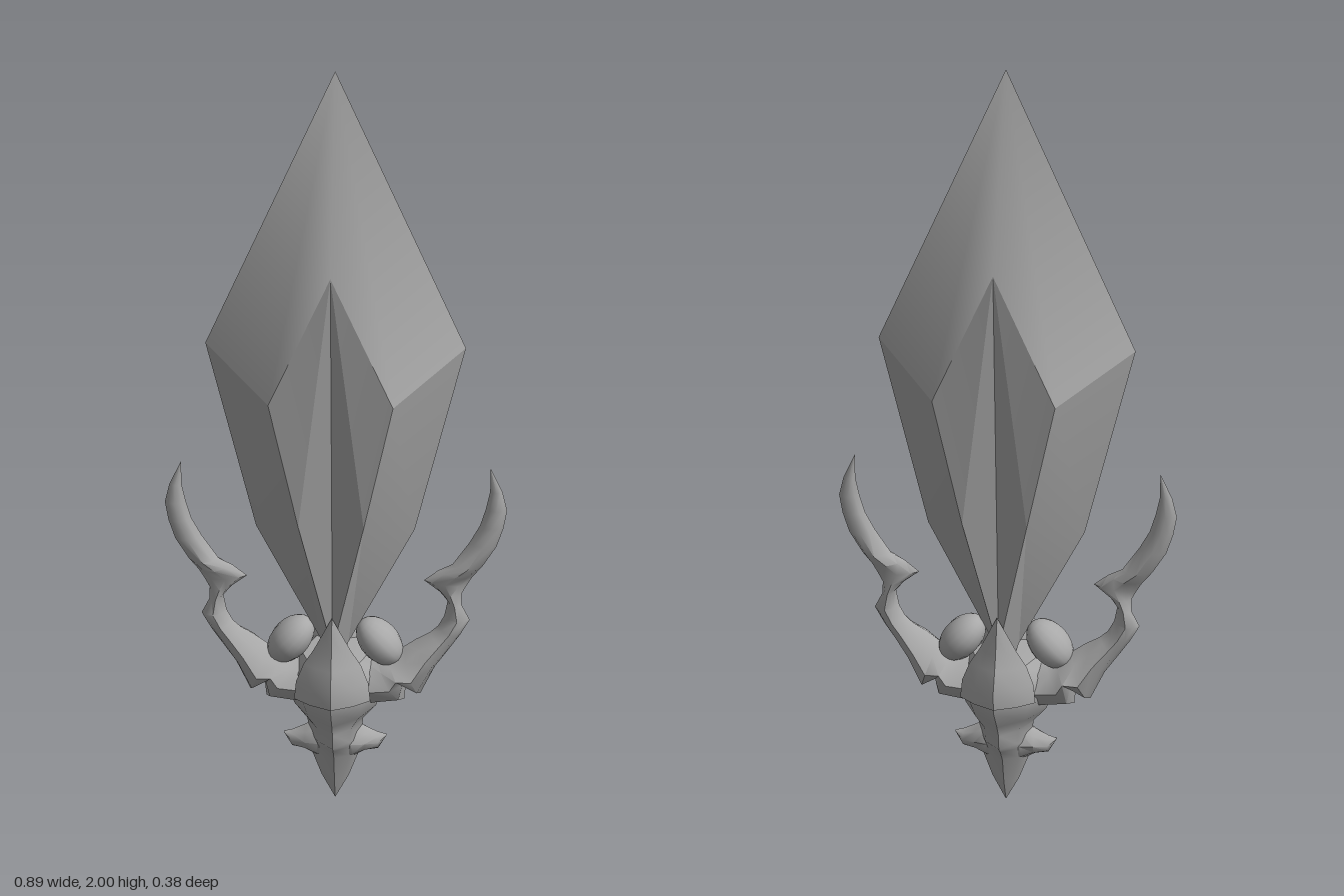
import * as THREE from 'three';
import { toCreasedNormals } from 'three/addons/utils/BufferGeometryUtils.js';

const V = (x, y, z = 0) => new THREE.Vector3(x, y, z);

// One ring of 8 points around c, spanned by half-axes u and v; pinch pulls the corners toward a diamond
function ring(c, u, v, pinch) {
  return Array.from({ length: 8 }, (_, i) => {
    const a = (i * Math.PI) / 4, k = i % 2 ? pinch : 1;
    return c.clone().addScaledVector(u, Math.cos(a) * k).addScaledVector(v, Math.sin(a) * k);
  });
}

// Closed skin over rings, wound outward whichever way the rings run
function loft(rings, crease) {
  const pts = rings.flat(), n = 8, idx = [];
  for (let r = 0; r < rings.length - 1; r++) {
    for (let i = 0; i < n; i++) {
      const a = r * n + i, b = r * n + ((i + 1) % n);
      idx.push(a, b, b + n, a, b + n, a + n);
    }
  }
  for (let i = 1; i < n - 1; i++) {
    const e = (rings.length - 1) * n;
    idx.push(0, i + 1, i, e, e + i, e + i + 1);
  }
  let volume = 0;
  for (let i = 0; i < idx.length; i += 3) {
    volume += pts[idx[i]].dot(pts[idx[i + 1]].clone().cross(pts[idx[i + 2]]));
  }
  if (volume < 0) idx.reverse();
  const g = new THREE.BufferGeometry().setFromPoints(pts);
  g.setIndex(idx);
  return toCreasedNormals(g, crease);
}

// Blade in the xy plane: rows of [outer x, outer y, inner x, inner y, half thickness]
const blade = (rows, s) => loft(rows.map(([ax, ay, bx, by, t]) => {
  const a = V(ax * s, ay), b = V(bx * s, by);
  return ring(a.clone().add(b).multiplyScalar(0.5), a.clone().sub(b).multiplyScalar(0.5), V(0, 0, t), 0.9);
}), 1.0);

// Quarter of the crystal given as polygons, mirrored over x and z
function crystalPart(polygons, crease) {
  const pts = [];
  for (const sx of [1, -1]) for (const sz of [1, -1]) {
    for (const poly of polygons) {
      for (let i = 1; i < poly.length - 1; i++) {
        const tri = [poly[0], poly[i], poly[i + 1]].map(([x, y, z]) => V(x * sx, y, z * sz));
        pts.push(...(sx * sz > 0 ? tri : tri.reverse()));
      }
    }
  }
  return toCreasedNormals(new THREE.BufferGeometry().setFromPoints(pts), crease);
}

export function createModel() {
  const model = new THREE.Group();
  const grey = new THREE.MeshStandardMaterial({ color: 0xa8a8a8 });
  grey.name = 'stone grey';
  const add = (name, geometry) => {
    const mesh = new THREE.Mesh(geometry, grey);
    mesh.name = name;
    model.add(mesh);
    return mesh;
  };

  // Crystal: pointed cap over a faceted, tapering shaft
  const tip = [0, 2, 0], f0 = [0, 1.53, 0.18], f1 = [0.155, 1.2, 0.18], f2 = [0.083, 0.87, 0.168];
  const f3 = [0, 0.5, 0.11], s1 = [0.33, 1.3, 0], s2 = [0.207, 0.8, 0], s3 = [0.035, 0.47, 0], base = [0, 0.36, 0];
  add('crystalCap', crystalPart([[tip, f0, f1, s1]], 1.4));
  add('crystalShaft', crystalPart([[f0, f3, f2, f1], [f1, f2, s2, s1], [f2, f3, s3, s2], [f3, base, s3]], 0.3));

  // Holder body: [y, half width, half depth]
  const body = [[0, 0, 0], [0.07, 0.037, 0.032], [0.148, 0.066, 0.055], [0.185, 0.07, 0.085], [0.205, 0.072, 0.108],
    [0.245, 0.075, 0.11], [0.285, 0.11, 0.135], [0.345, 0.13, 0.18], [0.4, 0.12, 0.188], [0.44, 0.09, 0.165], [0.45, 0, 0]];
  add('holderBody', loft(body.map(([y, w, d]) => ring(V(0, y), V(w, 0), V(0, 0, d), 0.86)), 0.8));

  // Upright spikes on the front and back: [y, half width, inner z, outer z]
  const spike = [[0.36, 0.1, 0.06, 0.186], [0.41, 0.095, 0.055, 0.188], [0.46, 0.075, 0.065, 0.168],
    [0.5, 0.05, 0.085, 0.153], [0.55, 0.025, 0.108, 0.143], [0.6, 0, 0.131, 0.131]];
  for (const s of [1, -1]) {
    add(s > 0 ? 'frontSpike' : 'backSpike', loft(spike.map(([y, w, z0, z1]) =>
      ring(V(0, y, (s * (z0 + z1)) / 2), V(w, 0), V(0, 0, (z1 - z0) / 2), 0.8)), 0.8));
  }

  // Curved barbed arms, lower fins and rounded knobs on both sides
  const arm = [[0.4, 0.975, 0.4, 0.975, 0], [0.432, 0.91, 0.4, 0.91, 0.01], [0.445, 0.86, 0.39, 0.862, 0.018],
    [0.437, 0.81, 0.376, 0.815, 0.022], [0.42, 0.757, 0.35, 0.767, 0.027], [0.385, 0.7, 0.307, 0.704, 0.034],
    [0.36, 0.67, 0.27, 0.685, 0.032], [0.345, 0.645, 0.233, 0.656, 0.022], [0.332, 0.62, 0.275, 0.624, 0.027],
    [0.333, 0.587, 0.296, 0.598, 0.027], [0.355, 0.545, 0.288, 0.555, 0.032], [0.33, 0.5, 0.272, 0.525, 0.036],
    [0.307, 0.466, 0.25, 0.505, 0.042], [0.265, 0.405, 0.215, 0.485, 0.065], [0.228, 0.325, 0.18, 0.46, 0.08],
    [0.19, 0.36, 0.14, 0.437, 0.09], [0.185, 0.307, 0.11, 0.43, 0.085], [0.116, 0.296, 0.06, 0.43, 0.085],
    [0, 0.28, 0, 0.43, 0.06]];
  const fin = [[0.138, 0.198, 0.138, 0.194, 0.004], [0.115, 0.205, 0.116, 0.155, 0.022],
    [0.08, 0.222, 0.08, 0.148, 0.04], [0.04, 0.25, 0.05, 0.13, 0.055], [0, 0.25, 0, 0.12, 0.055]];
  for (const s of [1, -1]) {
    const side = s > 0 ? 'left' : 'right';
    add(side + 'Arm', blade(arm, s));
    add(side + 'LowerFin', blade(fin, s));
    const knob = add(side + 'Knob', new THREE.SphereGeometry(1, 16, 12));
    knob.scale.set(0.05, 0.075, 0.068);
    knob.rotation.z = s * 0.75;
    knob.position.set(s * 0.118, 0.476, 0);
  }
  return model;
}
